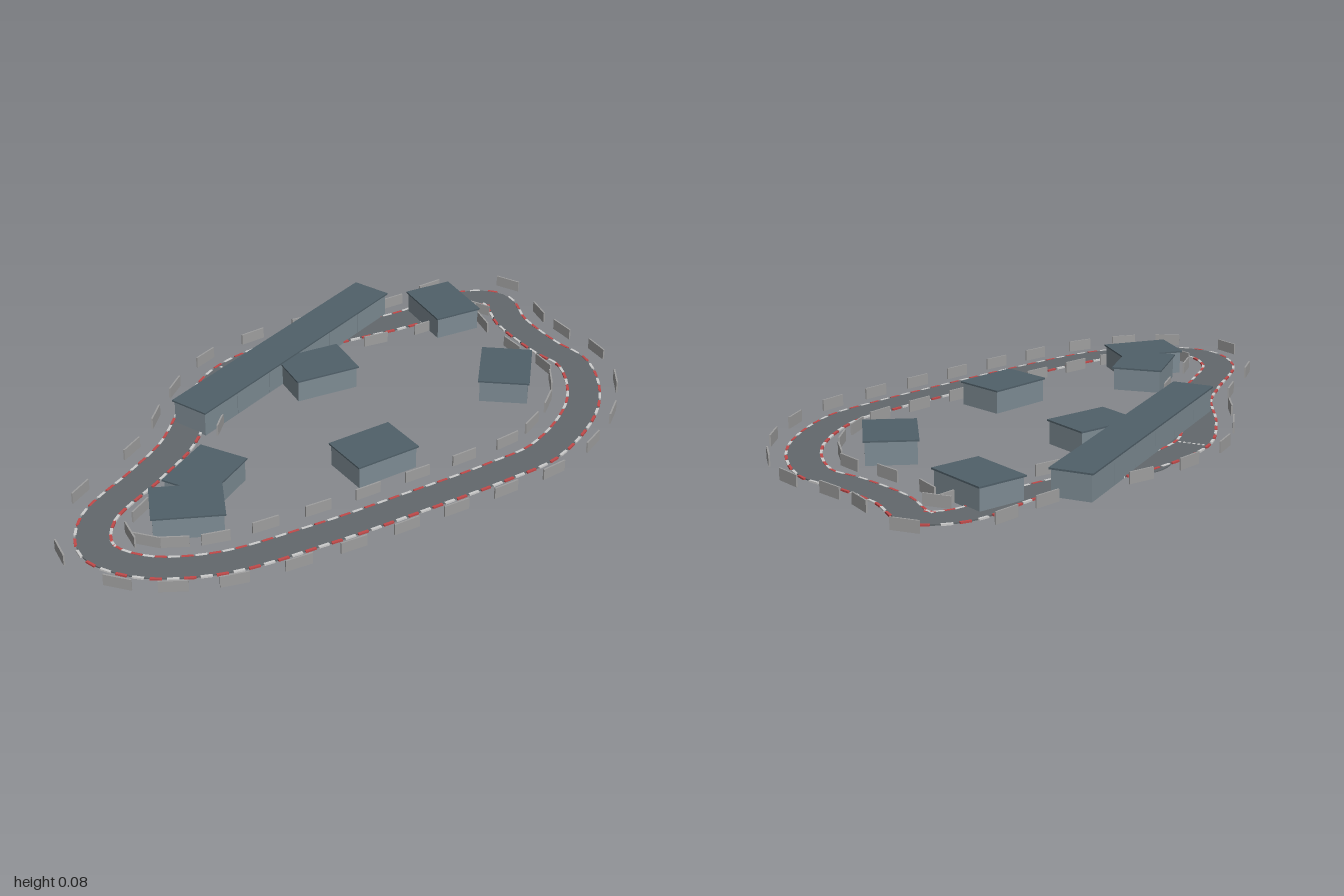
import * as THREE from 'three';

const mat = (color) => new THREE.MeshStandardMaterial({ color, flatShading: true });
const asphalt = mat(0x62686c), wallMat = mat(0x7d8b93), roofMat = mat(0x506069);
const railMat = mat(0x9e9e9e), red = mat(0xc04a4a), white = mat(0xe8e8e8);
const { smoothstep } = THREE.MathUtils;

const toCurve = (pts, closed) =>
  new THREE.CatmullRomCurve3(pts.map(([x, z]) => new THREE.Vector3(x, 0, z)), closed);

// Point beside a curve; positive offset lies on the outside of the circuit
function beside(curve, u, offset) {
  const p = curve.getPointAt(u), d = curve.getTangentAt(u);
  return { x: p.x - d.z * offset, z: p.z + d.x * offset, angle: Math.atan2(-d.z, d.x) };
}

// Thin road slab: a rectangular section swept along a curve
function road(name, curve, width, top, steps) {
  const pos = [], index = [];
  for (let i = 0; i <= steps; i++) {
    const r = beside(curve, i / steps, width / 2), l = beside(curve, i / steps, -width / 2);
    pos.push(r.x, top, r.z, l.x, top, l.z, l.x, 0, l.z, r.x, 0, r.z);
  }
  for (let i = 0; i < steps; i++) {
    for (let k = 0; k < 4; k++) {
      const a = i * 4 + k, b = i * 4 + (k + 1) % 4;
      index.push(a, a + 4, b, a + 4, b + 4, b);
    }
  }
  let geo = new THREE.BufferGeometry();
  geo.setAttribute('position', new THREE.Float32BufferAttribute(pos, 3));
  geo.setIndex(index);
  geo = geo.toNonIndexed();
  geo.computeVertexNormals();
  const mesh = new THREE.Mesh(geo, asphalt);
  mesh.name = name;
  return mesh;
}

// Box standing on height y
function block(name, w, h, d, material, x, y, z, angle = 0) {
  const mesh = new THREE.Mesh(new THREE.BoxGeometry(w, h, d), material);
  mesh.name = name;
  mesh.position.set(x, y + h / 2, z);
  mesh.rotation.y = angle;
  return mesh;
}

// Flat-roofed building made of equal bays with narrow joints
function building(name, x, z, angle, length, depth, height, bays) {
  const g = new THREE.Group();
  g.name = name;
  const roof = 0.005, wallLength = length - 0.008, bay = wallLength / bays;
  for (let i = 0; i < bays; i++) {
    g.add(block('bay', bay - 0.002, height - roof, depth - 0.01, wallMat, -wallLength / 2 + bay * (i + 0.5), 0, 0));
  }
  g.add(block('roof', length, roof, depth, roofMat, 0, height - roof, 0));
  g.position.set(x, 0, z);
  g.rotation.y = angle;
  return g;
}

export function createModel() {
  const model = new THREE.Group();
  model.name = 'raceCircuit';

  // Circuit centre line
  const circuit = toCurve([
    [0.015, -0.5], [-0.18, -0.44], [-0.4, -0.33], [-0.56, -0.29], [-0.8, -0.235], [-0.9, -0.13],
    [-0.875, 0.01], [-0.735, 0.155], [-0.455, 0.28], [-0.18, 0.375], [0.085, 0.46], [0.27, 0.5],
    [0.55, 0.435], [0.725, 0.28], [0.755, 0.15], [0.815, -0.015], [0.9, -0.15], [0.83, -0.235],
    [0.62, -0.29], [0.41, -0.385], [0.245, -0.46],
  ], true);
  circuit.arcLengthDivisions = 800;
  model.add(road('track', circuit, 0.094, 0.004, 220));

  // Pit lane beside the start, bulging slightly past the track at its end
  const pit = toCurve([[-0.32, -0.37], [-0.12, -0.43], [0.08, -0.46], [0.25, -0.495], [0.33, -0.45]], false);
  model.add(road('pitLane', pit, 0.06, 0.003, 40));

  // Dashed start line across the track
  const startLine = new THREE.Group();
  startLine.name = 'startLine';
  for (let i = 0; i < 6; i++) {
    const s = beside(circuit, 0, (i - 2.5) * 0.014);
    startLine.add(block('dash', 0.008, 0.005, 0.008, white, s.x, 0, s.z, s.angle));
  }
  model.add(startLine);

  // Alternating kerbs along both edges
  const kerbs = new THREE.Group();
  kerbs.name = 'kerbs';
  const kerbCount = 110;
  for (let i = 0; i < kerbCount; i++) {
    for (const side of [-1, 1]) {
      const k = beside(circuit, i / kerbCount, side * 0.048);
      kerbs.add(block('kerb', 0.032, 0.005, 0.008, i % 2 ? white : red, k.x, 0, k.z, k.angle));
    }
  }
  model.add(kerbs);

  // Barriers outside and inside the track, wider apart on the straight and closer at the bend
  const barriers = new THREE.Group();
  barriers.name = 'barriers';
  const barrierCount = 27;
  for (let i = 0; i < barrierCount; i++) {
    const shift = 1.1 * smoothstep(i, 2, 5) - 0.65 * smoothstep(i, 5, 8) - 0.45 * smoothstep(i, 14, 22);
    for (const side of [-1, 1]) {
      const b = beside(circuit, (i + shift) / barrierCount, side * 0.098);
      const inPits = side < 0 && b.z < -0.3 && b.x > -0.3 && b.x < 0.4;
      if (!inPits) barriers.add(block('barrier', 0.08, 0.034, 0.005, railMat, b.x, 0, b.z, b.angle));
    }
  }
  model.add(barriers);

  // Long pit building and the smaller buildings of the infield
  model.add(building('pitBuilding', 0.145, -0.39, 0.06, 0.905, 0.125, 0.08, 6));
  const infield = [
    [0.135, -0.25, -0.42], [0.69, -0.2, 1.17], [0.485, 0.195, 0.58],
    [-0.11, 0.17, -0.29], [-0.505, -0.11, 0.21], [-0.65, -0.04, -0.75],
  ];
  for (const [x, z, angle] of infield) {
    model.add(building('infieldBuilding', x, z, angle, 0.203, 0.153, 0.072, 1));
  }
  return model;
}
